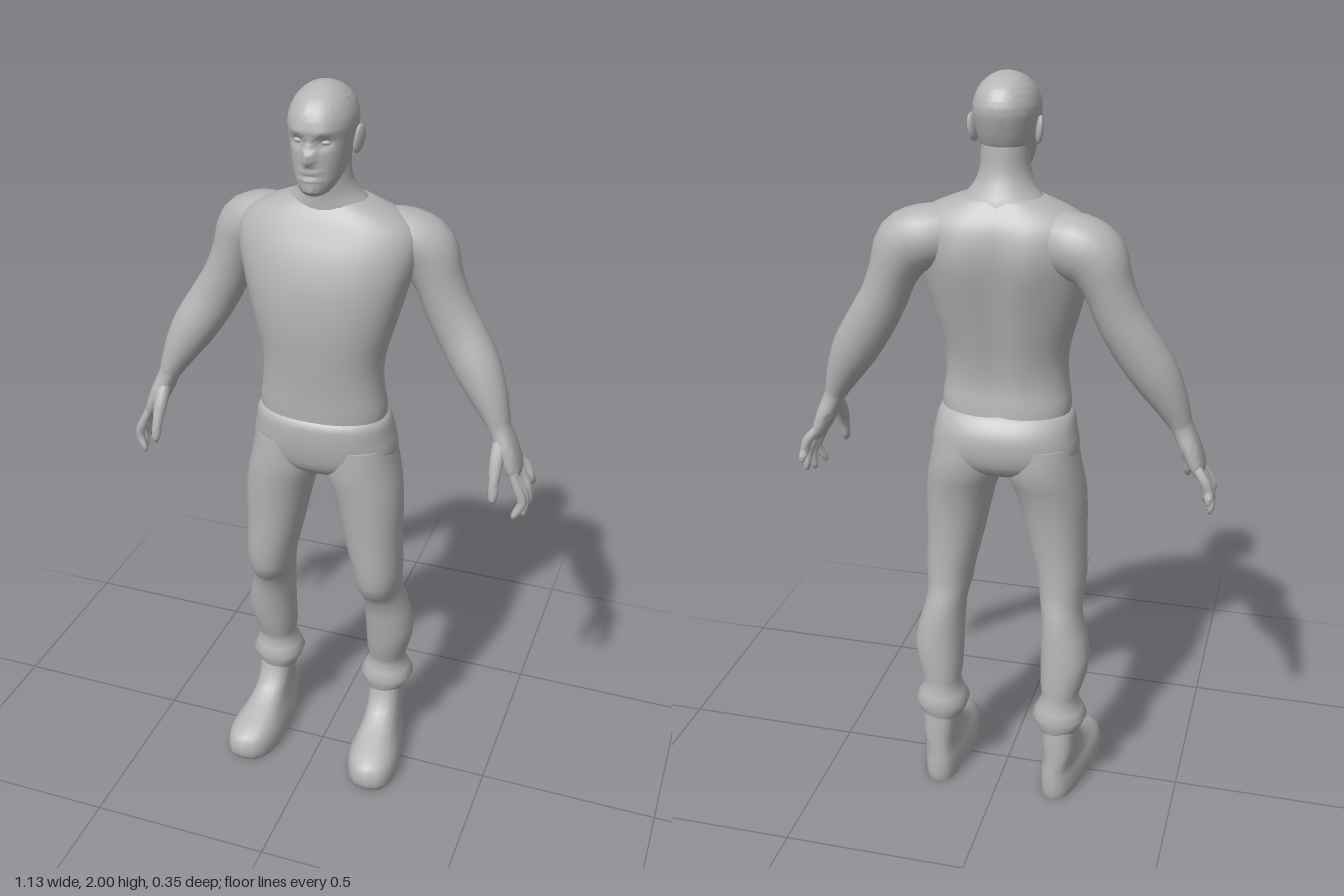
import * as THREE from 'three';
import { toCreasedNormals } from 'three/addons/utils/BufferGeometryUtils.js';

const grey = new THREE.MeshStandardMaterial({ color: 0xb4b4b4 });
grey.name = 'plain grey';

// Catmull-Rom interpolation of rows of numbers
function smoothRows(rows, steps) {
  const out = [], at = i => rows[Math.min(Math.max(i, 0), rows.length - 1)];
  for (let i = 0; i < rows.length - 1; i++) {
    const [p, q, r, s] = [at(i - 1), at(i), at(i + 1), at(i + 2)];
    for (let k = 0; k < steps; k++) {
      const t = k / steps;
      out.push(q.map((v, d) => v + 0.5 * t * (r[d] - p[d] +
        t * (2 * p[d] - 5 * v + 4 * r[d] - s[d] + t * (3 * (v - r[d]) + s[d] - p[d])))));
    }
  }
  out.push(rows[rows.length - 1]);
  return out;
}

// Loft through rows [x, y, z, half width across, half depth in z]; level keeps the rings horizontal
function loft(rows, { n = 20, steps = 3, power = 2, level = false, sculpt = null, crease = 1.1 } = {}) {
  const rings = smoothRows(rows, steps), pos = [], index = [];
  const centre = r => new THREE.Vector3(r[0], r[1], r[2]);
  const bend = v => Math.sign(v) * Math.abs(v) ** (2 / power);
  const put = v => { if (sculpt) sculpt(v); pos.push(v.x, v.y, v.z); };
  rings.forEach((r, i) => {
    const T = centre(rings[Math.min(i + 1, rings.length - 1)]).sub(centre(rings[Math.max(i - 1, 0)]));
    if (level) T.set(0, Math.sign(T.y), 0);
    T.normalize();
    const B = new THREE.Vector3(0, 0, 1).addScaledVector(T, -T.z).normalize();
    const N = B.clone().cross(T);
    for (let j = 0; j < n; j++) {
      const a = j / n * Math.PI * 2;
      put(centre(r).addScaledVector(N, r[3] * bend(Math.cos(a))).addScaledVector(B, r[4] * bend(Math.sin(a))));
    }
  });
  const last = rings.length - 1, c0 = rings.length * n;
  put(centre(rings[0]));
  put(centre(rings[last]));
  for (let j = 0; j < n; j++) {
    const k = (j + 1) % n;
    for (let i = 0; i < last; i++) {
      const a = i * n + j, b = i * n + k;
      index.push(a, b, b + n, a, b + n, a + n);
    }
    index.push(c0, k, j, c0 + 1, last * n + j, last * n + k);
  }
  const g = new THREE.BufferGeometry();
  g.setAttribute('position', new THREE.Float32BufferAttribute(pos, 3));
  g.setIndex(index);
  g.computeVertexNormals();
  return toCreasedNormals(g, crease);
}

// Rows given as [y, x inner, x outer, z front, z back]
const slab = (rows, s = 1) => rows.map(([y, a, b, f, k]) => [s * (a + b) / 2, y, (f + k) / 2, (b - a) / 2, (f - k) / 2]);
// Rows given as [y, half width, z front, z back], centred on x = 0
const middle = rows => slab(rows.map(([y, w, f, k]) => [y, -w, w, f, k]));
const bump = (d, s) => Math.exp(-((d / s) ** 2));

export function createModel() {
  const model = new THREE.Group();
  model.name = 'standingMan';
  const add = (name, geometry) => {
    const m = new THREE.Mesh(geometry, grey);
    m.name = name;
    model.add(m);
    return m;
  };

  // Head with sculpted face
  add('head', loft(middle([
    [1.745, 0.02, 0.08, 0.03], [1.755, 0.036, 0.092, 0.01], [1.78, 0.053, 0.098, -0.03],
    [1.82, 0.067, 0.098, -0.075], [1.87, 0.077, 0.098, -0.1], [1.92, 0.082, 0.1, -0.112],
    [1.96, 0.069, 0.078, -0.096], [1.985, 0.046, 0.045, -0.066], [1.997, 0.022, 0.013, -0.035], [2, 0.004, -0.005, -0.015],
  ]), {
    n: 56, steps: 7, power: 2.15, level: true, crease: 1.5,
    sculpt: v => {
      if (v.z < 0.02) return;
      const x = Math.abs(v.x), y = v.y;
      v.z += 0.024 * bump(x, 0.012) * bump(y - 1.835, y > 1.835 ? 0.035 : 0.012)
        - 0.014 * bump(x - 0.033, 0.018) * bump(y - 1.878, 0.013)
        + 0.005 * bump(x - 0.03, 0.025) * bump(y - 1.902, 0.01)
        + 0.006 * bump(x, 0.024) * (bump(y - 1.807, 0.007) + bump(y - 1.789, 0.007))
        - 0.006 * bump(x, 0.026) * bump(y - 1.798, 0.004)
        + 0.006 * bump(x, 0.02) * bump(y - 1.762, 0.012);
    },
  }));
  add('neck', loft(middle([
    [1.65, 0.125, 0.03, -0.14], [1.7, 0.105, 0.03, -0.125], [1.73, 0.08, 0.032, -0.11],
    [1.77, 0.063, 0.038, -0.095], [1.83, 0.06, 0.04, -0.09],
  ]), { level: true, n: 24 }));

  // Shirt: chest, shoulder blades and spine groove
  add('shirtBody', loft(middle([
    [1.1, 0.165, 0.092, -0.12], [1.16, 0.172, 0.095, -0.115], [1.22, 0.163, 0.098, -0.108],
    [1.3, 0.162, 0.105, -0.118], [1.4, 0.188, 0.112, -0.14], [1.5, 0.215, 0.106, -0.158],
    [1.58, 0.235, 0.085, -0.167], [1.64, 0.23, 0.058, -0.16], [1.68, 0.18, 0.038, -0.14], [1.71, 0.105, 0.02, -0.12],
  ]), {
    n: 40, level: true, power: 2.25,
    sculpt: v => {
      if (v.z > -0.06) return;
      v.z += 0.016 * bump(v.x, 0.03) * bump(v.y - 1.42, 0.25)
        - 0.012 * bump(Math.abs(v.x) - 0.08, 0.05) * bump(v.y - 1.55, 0.09);
    },
  }));

  // Trouser seat
  add('trouserHips', loft(middle([
    [1.145, 0.165, 0.085, -0.11], [1.13, 0.18, 0.102, -0.126], [1.09, 0.189, 0.105, -0.148],
    [1.03, 0.196, 0.098, -0.148], [0.985, 0.15, 0.08, -0.125], [0.95, 0.05, 0.03, -0.06],
  ]), { n: 32, level: true, power: 2.3 }));

  for (const s of [1, -1]) {
    const side = s > 0 ? 'left' : 'right';
    const flip = rows => rows.map(([x, ...rest]) => [s * x, ...rest]);

    // Eye and ear
    const eye = add(side + 'Eye', new THREE.SphereGeometry(0.012, 14, 10));
    eye.scale.set(1.1, 0.6, 0.7);
    eye.position.set(s * 0.033, 1.878, 0.076);
    const ear = add(side + 'Ear', new THREE.SphereGeometry(0.03, 16, 12));
    ear.scale.set(0.3, 1.2, 0.7);
    ear.position.set(s * 0.083, 1.865, -0.022);
    ear.rotation.set(-0.15, s * -0.35, s * -0.12);

    // Arm from shoulder to wrist
    add(side + 'Arm', loft(flip([
      [0.13, 1.61, -0.075, 0.075, 0.07], [0.19, 1.602, -0.085, 0.082, 0.083], [0.24, 1.575, -0.092, 0.083, 0.077],
      [0.274, 1.51, -0.092, 0.064, 0.068], [0.303, 1.44, -0.09, 0.062, 0.062], [0.342, 1.37, -0.085, 0.064, 0.058],
      [0.392, 1.29, -0.07, 0.062, 0.058], [0.428, 1.225, -0.058, 0.05, 0.052], [0.452, 1.175, -0.05, 0.037, 0.044],
      [0.462, 1.15, -0.047, 0.031, 0.04],
    ])));

    // Hand
    add(side + 'Palm', loft(flip([
      [0.455, 1.17, -0.048, 0.03, 0.039], [0.47, 1.135, -0.045, 0.027, 0.038], [0.49, 1.09, -0.043, 0.026, 0.05],
      [0.512, 1.04, -0.043, 0.02, 0.053], [0.52, 1.015, -0.043, 0.012, 0.045],
    ]), { n: 16, power: 2.4 }));
    const fingers = [
      ['Index', -0.006, 0.01, 0.532, 0.908], ['Middle', -0.031, -0.028, 0.548, 0.9],
      ['Ring', -0.057, -0.072, 0.553, 0.915], ['Little', -0.08, -0.106, 0.55, 0.953],
    ];
    for (const [name, z0, z1, x, y] of fingers) {
      const zm = (z0 + z1) / 2, ym = (1.03 + y) / 2;
      add(side + name + 'Finger', loft(flip([
        [0.51, 1.045, z0, 0.013, 0.013], [0.535, ym + 0.025, zm, 0.014, 0.0125], [0.548, ym - 0.01, zm, 0.013, 0.012],
        [x, y + 0.012, z1, 0.01, 0.009], [x - 0.001, y, z1, 0.004, 0.004],
      ]), { n: 8 }));
    }
    add(side + 'Thumb', loft(flip([
      [0.475, 1.115, -0.025, 0.02, 0.02], [0.474, 1.07, 0.008, 0.019, 0.019], [0.476, 1.02, 0.032, 0.014, 0.013],
      [0.478, 0.98, 0.042, 0.012, 0.011], [0.479, 0.965, 0.044, 0.004, 0.004],
    ]), { n: 10 }));

    // Trouser leg with knee bulge and flared cuff
    add(side + 'TrouserLeg', loft(slab([
      [1.06, 0, 0.19, 0.09, -0.138], [0.98, 0.002, 0.206, 0.092, -0.14], [0.9, 0.033, 0.22, 0.085, -0.118],
      [0.76, 0.065, 0.222, 0.076, -0.105], [0.66, 0.09, 0.225, 0.072, -0.107], [0.6, 0.1, 0.22, 0.06, -0.114],
      [0.55, 0.11, 0.222, 0.024, -0.128], [0.44, 0.113, 0.25, 0.004, -0.14], [0.35, 0.115, 0.234, -0.015, -0.145],
      [0.3, 0.12, 0.222, -0.03, -0.145], [0.25, 0.095, 0.248, -0.014, -0.16], [0.205, 0.115, 0.223, -0.025, -0.15],
    ], s), { n: 24, level: true, power: 2.15, steps: 2 }));

    // Boot: toe wider than heel and turned slightly out
    add(side + 'Boot', loft(slab([
      [0, 0.115, 0.245, 0.17, -0.16], [0.02, 0.112, 0.248, 0.181, -0.164], [0.06, 0.113, 0.245, 0.176, -0.164],
      [0.085, 0.12, 0.236, 0.15, -0.162], [0.11, 0.126, 0.229, 0.09, -0.16], [0.135, 0.128, 0.224, 0.033, -0.158],
      [0.17, 0.126, 0.222, -0.008, -0.155], [0.23, 0.126, 0.222, -0.028, -0.15],
    ], s), {
      n: 20, steps: 2, level: true, power: 2.7, crease: 0.9,
      sculpt: v => {
        const low = THREE.MathUtils.clamp((0.14 - v.y) / 0.06, 0, 1), mid = s * 0.18;
        v.x = mid + (v.x - mid) * (1 + low * THREE.MathUtils.clamp(v.z * 1.6, -0.2, 0.14)) + s * 0.07 * low * v.z;
        // raised arch under the sole
        if (v.y < 0.015) v.y += 0.012 * bump(v.z + 0.04, 0.04);
      },
    }));
  }
  return model;
}
